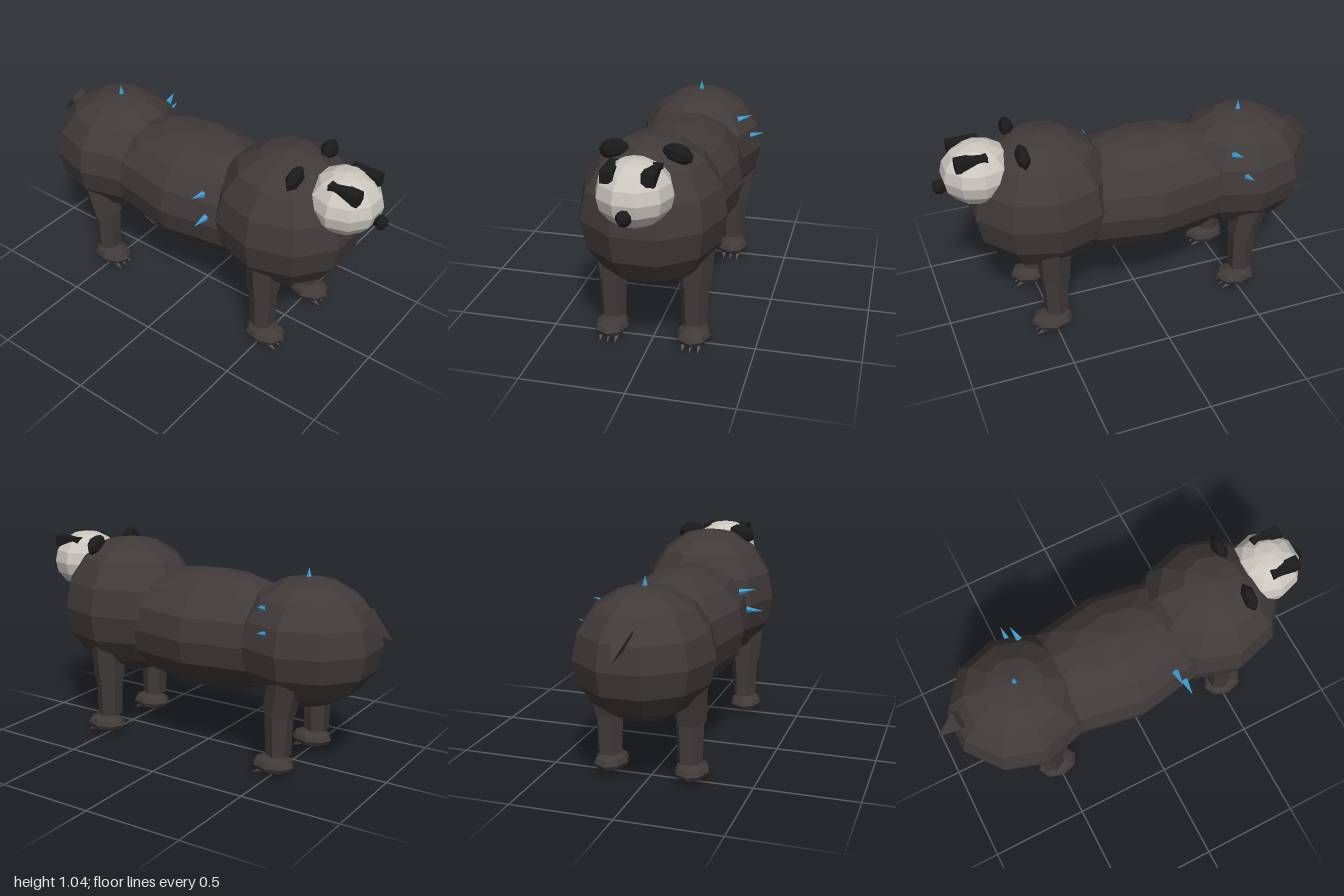
import * as THREE from 'three';

const mat = (name, color) => {
  const m = new THREE.MeshStandardMaterial({ color, flatShading: true });
  m.name = name;
  return m;
};

export function createModel() {
  const fur = mat('dark brown fur', 0x403a39);
  const face = mat('pale grey face', 0xcbc7bf);
  const black = mat('black', 0x1c1b1b);
  const blue = mat('blue spike', 0x3a9fd4);
  const claw = mat('grey claw', 0x5a5654);

  const model = new THREE.Group();
  model.name = 'bear';

  const add = (name, geometry, material, x, y, z, parent = model) => {
    const mesh = new THREE.Mesh(geometry, material);
    mesh.name = name;
    mesh.position.set(x, y, z);
    parent.add(mesh);
    return mesh;
  };

  // Faceted ellipsoid with the given centre and radii
  const blob = (name, material, [x, y, z], [rx, ry, rz], w = 10, h = 8, parent = model) =>
    add(name, new THREE.SphereGeometry(1, w, h).scale(rx, ry, rz), material, x, y, z, parent);

  // Tapered prism running between two points
  const limb = (name, material, from, to, r0, r1, sides, parent = model) => {
    const a = new THREE.Vector3(...from), b = new THREE.Vector3(...to);
    const dir = b.clone().sub(a);
    const geo = new THREE.CylinderGeometry(r1, r0, dir.length(), sides, 1, false, Math.PI / 6);
    const mid = a.add(b).multiplyScalar(0.5);
    const mesh = add(name, geo, material, mid.x, mid.y, mid.z, parent);
    mesh.quaternion.setFromUnitVectors(new THREE.Vector3(0, 1, 0), dir.normalize());
    return mesh;
  };

  // Body
  blob('chest', fur, [0, 0.675, 0.48], [0.35, 0.357, 0.37]);
  blob('belly', fur, [0, 0.622, -0.04], [0.327, 0.298, 0.6]);
  blob('hips', fur, [0, 0.633, -0.565], [0.335, 0.313, 0.362]);

  // Tail, pointing back and down
  limb('tail', fur, [0, 0.795, -0.85], [0, 0.7, -0.99], 0.065, 0, 4);

  // Head
  blob('head', face, [0, 0.875, 0.78], [0.175, 0.153, 0.178]);
  blob('nose', black, [0.003, 0.83, 0.967], [0.036, 0.036, 0.035], 6, 5);

  for (const s of [-1, 1]) {
    const side = s > 0 ? 'left' : 'right';
    const ear = blob(side + 'Ear', black, [s * 0.145, 0.992, 0.597], [0.072, 0.05, 0.034], 6, 5);
    ear.rotation.z = s * -0.25;
    add(side + 'EyePatch', new THREE.BoxGeometry(0.058, 0.058, 0.15), black, s * 0.089, 0.978, 0.824);

    // Legs: hexagonal upper and lower parts, paw and claws
    for (const [end, z, lean] of [['Front', 0.492, 0], ['Rear', -0.525, -0.045]]) {
      const leg = new THREE.Group();
      leg.name = side + end + 'Leg';
      model.add(leg);
      limb('upperLeg', fur, [s * 0.2, 0.32, z], [s * 0.215, 0.53, z + lean], 0.08, 0.084, 6, leg);
      limb('lowerLeg', fur, [s * 0.2, 0.11, z], [s * 0.2, 0.33, z], 0.062, 0.07, 6, leg);
      blob('paw', fur, [s * 0.203, 0.056, z + 0.025], [0.084, 0.046, 0.108], 8, 6, leg);
      for (const i of [-1, 0, 1]) {
        const x = s * 0.203 + i * 0.038;
        limb('claw', claw, [x, 0.03, z + 0.07], [x, 0.002, z + 0.118], 0.014, 0, 5, leg);
      }
    }
  }

  // Small spikes on the flanks and rump: base, tip
  const spikes = [
    [[0, 0.93, -0.56], [0, 0.99, -0.56]],
    [[0.28, 0.72, -0.485], [0.362, 0.742, -0.49]],
    [[0.225, 0.82, -0.44], [0.298, 0.845, -0.457]],
    [[-0.28, 0.67, 0.2], [-0.366, 0.668, 0.2]],
    [[-0.25, 0.77, 0.16], [-0.332, 0.79, 0.158]],
  ];
  for (const [base, tip] of spikes) limb('spike', blue, base, tip, 0.017, 0, 5);

  return model;
}
